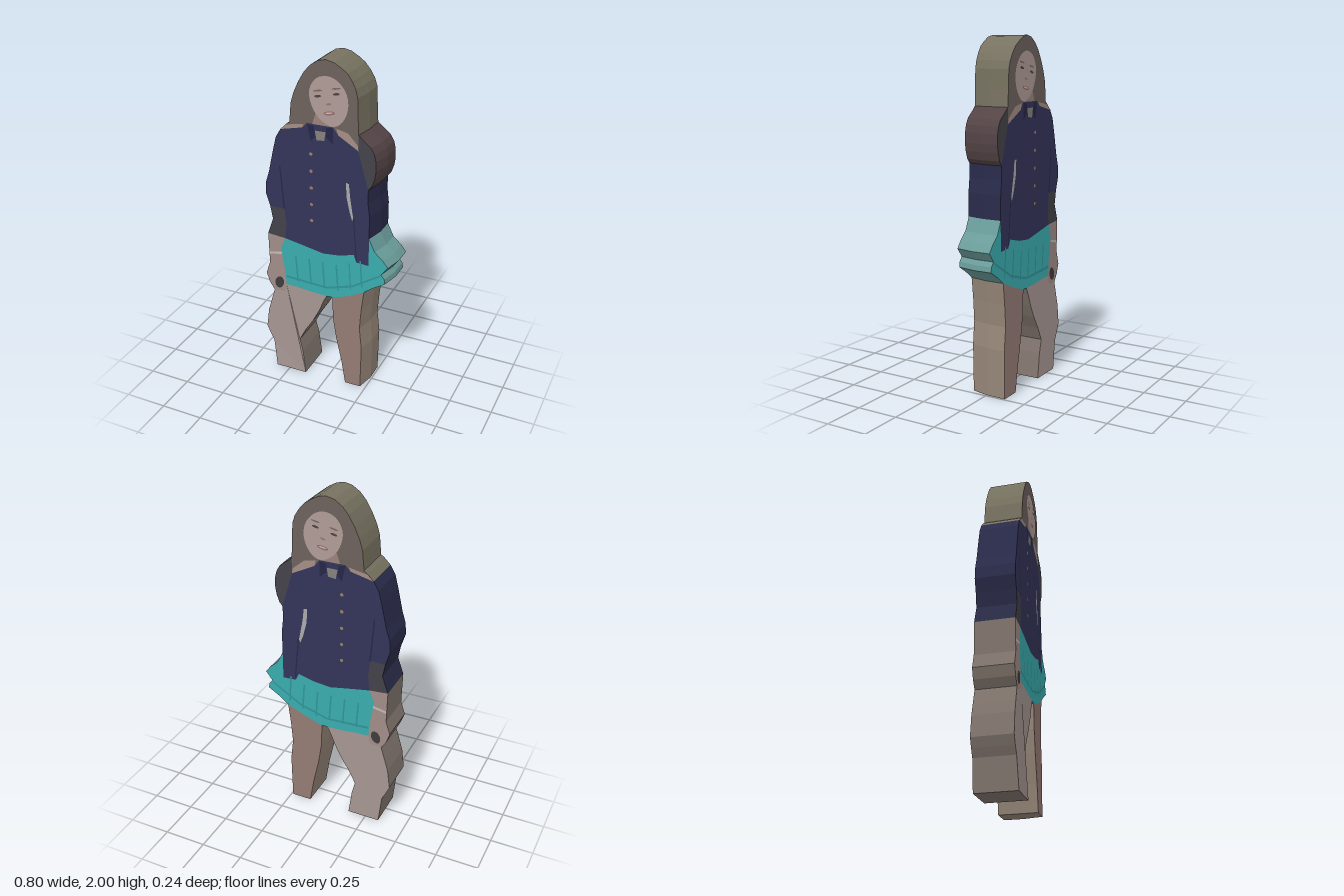
import * as THREE from 'three';

const BACK = -0.12, DEPTH = 0.22;

// front surface leans slightly and bulges at the right foot
const frontZ = (x, y) => 0.103 - 0.012 * x + (x < 0 && y < 0.2 ? 0.008 * (1 - y / 0.2) : 0);
// the left edge tapers in towards the front
const taper = (x, t) => x - 0.024 * THREE.MathUtils.smoothstep(x, 0.1, 0.25) * Math.max(0, (t - 0.5) * 2);

const toPoints = (flat) => {
  const pts = [];
  for (let i = 0; i < flat.length; i += 2) pts.push(new THREE.Vector2(flat[i], flat[i + 1]));
  return pts;
};
const mat = (color) => new THREE.MeshStandardMaterial({ color });

// rows of points listed backwards, to share seams between neighbours
const reversed = (flat) => toPoints(flat).reverse().flatMap((p) => [p.x, p.y]);

export function createModel() {
  const model = new THREE.Group();

  // full-depth slab of the cutout
  function slab(name, flat, faceColor, sideColor) {
    const geo = new THREE.ExtrudeGeometry(new THREE.Shape(toPoints(flat)), {
      depth: 1, steps: 4, bevelEnabled: false,
    });
    const p = geo.attributes.position;
    for (let i = 0; i < p.count; i++) {
      const t = p.getZ(i), x = taper(p.getX(i), t), y = p.getY(i);
      p.setXYZ(i, x, y, THREE.MathUtils.lerp(BACK, frontZ(x, y), t));
    }
    geo.computeVertexNormals();
    const mesh = new THREE.Mesh(geo, [mat(faceColor), mat(sideColor)]);
    mesh.name = name;
    model.add(mesh);
  }

  // thin coloured patch on both the front and the back
  function patch(name, flat, color, level = 1, smooth = false) {
    let pts = toPoints(flat);
    if (smooth) {
      const curve = new THREE.CatmullRomCurve3(pts.map((q) => new THREE.Vector3(q.x, q.y, 0)), true);
      pts = curve.getPoints(40).slice(0, -1).map((q) => new THREE.Vector2(q.x, q.y));
    }
    const group = new THREE.Group();
    group.name = name;
    for (const front of [true, false]) {
      const geo = new THREE.ShapeGeometry(new THREE.Shape(pts));
      const p = geo.attributes.position;
      for (let i = 0; i < p.count; i++) {
        const x = taper(p.getX(i), front ? 1 : 0);
        p.setXYZ(i, x, p.getY(i), front ? frontZ(x, p.getY(i)) + 0.0012 * level : BACK - 0.0012 * level);
      }
      if (!front) geo.setIndex(Array.from(geo.index.array).reverse());
      geo.computeVertexNormals();
      group.add(new THREE.Mesh(geo, mat(color)));
    }
    model.add(group);
  }

  const oval = (x, y, rx, ry, tilt = 0) => {
    const out = [];
    for (let i = 0; i < 14; i++) {
      const a = (i / 14) * Math.PI * 2, u = rx * Math.cos(a), v = ry * Math.sin(a);
      out.push(x + u * Math.cos(tilt) - v * Math.sin(tilt), y + u * Math.sin(tilt) + v * Math.cos(tilt));
    }
    return out;
  };

  // seams shared by neighbouring slabs
  const neckline = [0.205, 1.53, 0.07, 1.6, 0.04, 1.64, -0.11, 1.64, -0.14, 1.61, -0.27, 1.58];
  const armSeam = [0.205, 1.53, 0.245, 1.4, 0.27, 1.315];
  const shirtHem = [0.28, 1.02, 0.28, 0.85, 0.2, 0.855, 0.18, 0.9, 0.08, 0.875, -0.02, 0.865, -0.15, 0.89, -0.26, 0.91];
  const cuffSeam = [-0.26, 0.91, -0.25, 1.0, -0.26, 1.1, -0.35, 1.1];
  const skirtHemRight = [0, 0.585, -0.1, 0.59, -0.2, 0.6, -0.26, 0.6];
  const skirtHemLeft = [0.255, 0.67, 0.14, 0.62, 0.035, 0.585];
  const skirtSide = [-0.26, 0.6, -0.265, 0.68, -0.29, 0.84, -0.26, 0.91];

  // slabs from head to feet
  slab('hair', [-0.235, 1.615, -0.215, 1.63, -0.205, 1.74, -0.187, 1.8, -0.16, 1.86, -0.125, 1.92, -0.09, 1.96,
    -0.045, 1.99, 0, 2, 0.045, 1.99, 0.09, 1.965, 0.125, 1.94, 0.155, 1.905, 0.18, 1.865, 0.195, 1.82,
    0.2, 1.71, 0.205, 1.62, ...neckline], 0x6d625c, 0x777260);
  slab('shoulderBag', [0.205, 1.62, 0.235, 1.595, 0.28, 1.56, 0.3, 1.525, 0.31, 1.485, 0.312, 1.43,
    0.305, 1.385, 0.29, 1.34, ...reversed(armSeam)], 0x434349, 0x544446);
  slab('shirt', [...reversed(neckline), ...armSeam.slice(2), 0.27, 1.235, 0.28, 1.155, ...shirtHem,
    ...cuffSeam.slice(2), -0.375, 1.18, -0.37, 1.25, -0.35, 1.315, -0.32, 1.45, -0.3, 1.53], 0x33345a, 0x2a2c4c);
  slab('rightCuff', [...cuffSeam, -0.335, 1.02, -0.37, 0.92], 0x414148, 0x2a2c48);
  slab('skirt', [...shirtHem, ...reversed(skirtSide).slice(2), ...reversed(skirtHemRight).slice(2),
    ...reversed(skirtHemLeft), 0.315, 0.715, 0.38, 0.755, 0.375, 0.785, 0.355, 0.81, 0.395, 0.862,
    0.365, 0.9, 0.315, 0.945], 0x3aacae, 0x6a9c9a);
  slab('rightForearm', [-0.37, 0.92, -0.365, 0.73, -0.39, 0.65, -0.37, 0.59, -0.34, 0.545, -0.27, 0.55,
    ...skirtSide], 0xa08c87, 0x82766e);
  slab('rightLeg', [-0.34, 0.545, -0.365, 0.46, -0.385, 0.39, -0.4, 0.27, -0.378, 0.22, -0.355, 0.175,
    -0.335, 0, -0.14, 0, -0.16, 0.15, -0.18, 0.23, -0.14, 0.31, -0.09, 0.39, -0.05, 0.47, -0.02, 0.545,
    ...skirtHemRight, -0.27, 0.55], 0xa69692, 0x82766e);
  slab('leftLeg', [...skirtHemLeft, 0.04, 0.44, 0.06, 0.31, 0.095, 0.15, 0.12, 0, 0.24, 0, 0.245, 0.28,
    0.23, 0.415, 0.24, 0.545], 0x947b74, 0x968678);

  // head details
  patch('neck', [-0.08, 1.64, 0.04, 1.64, 0.04, 1.7, -0.06, 1.7], 0x9a837b);
  patch('face', [0, 1.915, 0.06, 1.9, 0.115, 1.84, 0.13, 1.77, 0.11, 1.7, 0.065, 1.65, 0.02, 1.645,
    -0.04, 1.68, -0.08, 1.74, -0.095, 1.82, -0.06, 1.89], 0xb09c97, 2, true);
  for (const [x, y] of [[-0.045, 1.8], [0.06, 1.825]]) {
    patch('eye', oval(x, y, 0.02, 0.007, 0.2), 0x4e4340, 3);
    patch('eyebrow', oval(x, y + 0.03, 0.027, 0.005, 0.2), 0x796862, 3);
  }
  patch('nose', oval(0.018, 1.765, 0.016, 0.006, 0.2), 0x937a73, 3);
  patch('lips', oval(0.02, 1.715, 0.034, 0.011, 0.2), 0x97696a, 3);
  patch('smile', oval(0.02, 1.717, 0.023, 0.004, 0.2), 0xc9bfbc, 4);

  // bare shoulders
  patch('leftShoulder', [0.07, 1.6, 0.205, 1.53, 0.2, 1.56, 0.13, 1.62, 0.06, 1.635], 0xa58d84);
  patch('rightShoulder', [-0.14, 1.61, -0.27, 1.58, -0.235, 1.612, -0.13, 1.632], 0xa58d84);

  // shirt details
  patch('collarLeft', [0, 1.63, 0.04, 1.635, 0.04, 1.54, 0, 1.58], 0x252646);
  patch('collarRight', [-0.11, 1.635, -0.07, 1.63, -0.065, 1.57, -0.09, 1.54], 0x252646);
  patch('collarOpening', [-0.065, 1.605, -0.002, 1.605, -0.01, 1.555, -0.055, 1.55], 0x85817c);
  for (let i = 0; i < 5; i++) patch('button', oval(-0.09, 1.465 - i * 0.101, 0.01, 0.01), 0x94805f);
  patch('armGap', [0.118, 1.335, 0.138, 1.33, 0.148, 1.25, 0.172, 1.13, 0.165, 1.11, 0.145, 1.16, 0.122, 1.25], 0xaaa9a9);
  patch('leftSleeveFold', [0.172, 1.13, 0.18, 1.13, 0.205, 0.87, 0.197, 0.87], 0x252646);
  patch('rightSleeveFold', [-0.285, 1.36, -0.277, 1.36, -0.255, 1.1, -0.265, 1.1], 0x252646);

  // skirt folds and lower tier
  for (let i = 0; i < 6; i++) {
    const x = -0.2 + i * 0.085, y = 0.68 + Math.max(0, i - 3) * 0.03;
    patch('skirtFold', [x, y + 0.13, x + 0.01, y + 0.13, x + 0.022, y - 0.04, x + 0.012, y - 0.04], 0x2f9598);
  }
  patch('skirtTier', [-0.26, 0.665, 0, 0.65, 0.17, 0.7, 0.355, 0.81, 0.35, 0.795, 0.17, 0.685, 0, 0.637, -0.26, 0.65], 0x2f9598);

  // bracelet and ring on the right hand
  patch('bracelet', [-0.365, 0.785, -0.285, 0.8, -0.285, 0.815, -0.365, 0.8], 0xc4bab6);
  patch('ring', oval(-0.305, 0.605, 0.028, 0.04, -0.3), 0x3f3b3e);
  return model;
}
